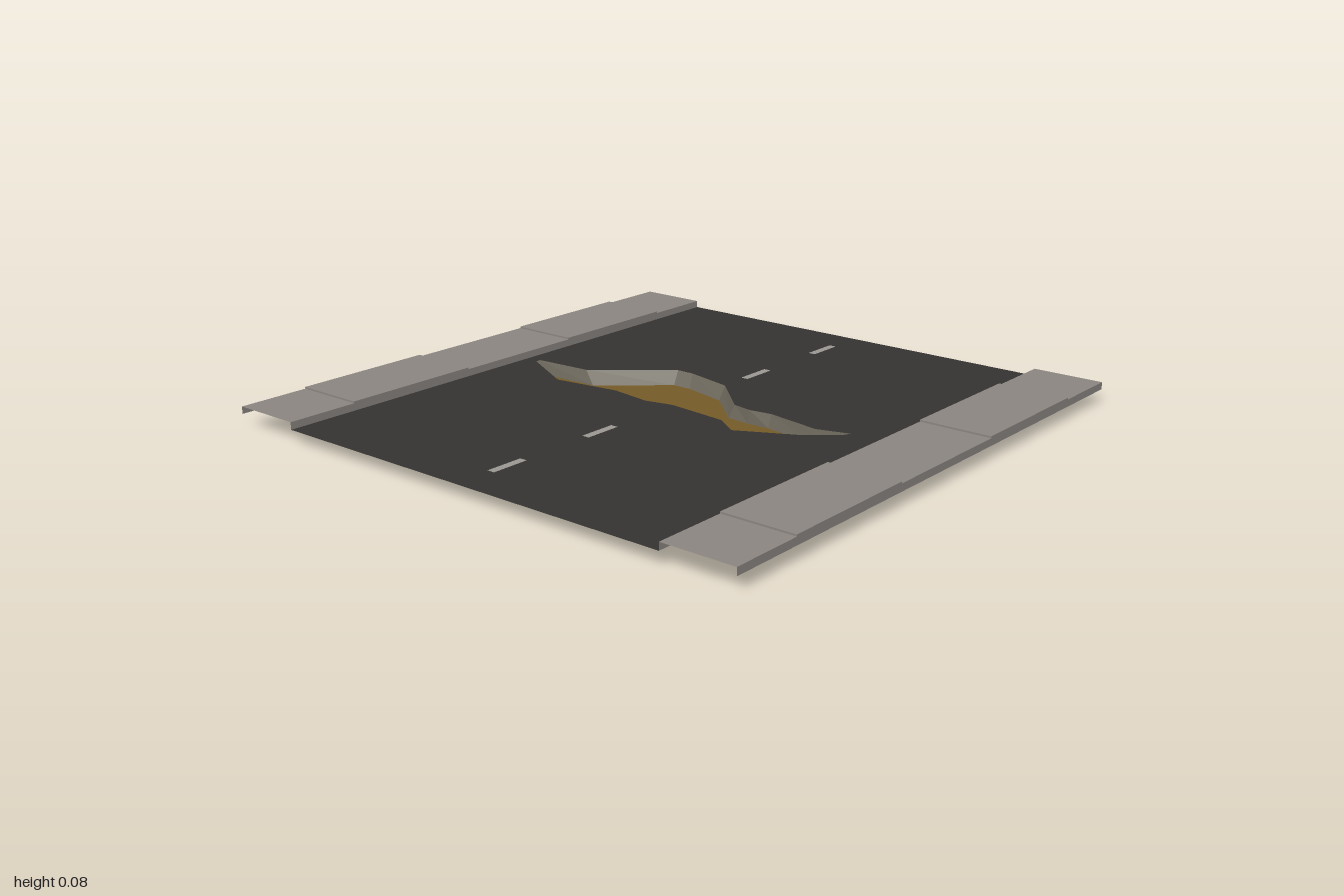
import * as THREE from 'three';

const ROAD_Y = 0.045, ROAD_HALF = 0.75, HALF = 1;
const LOW = 0.07, HIGH = 0.076;

// Crack outline, clockwise from above: [rim x, rim z, floor x, floor z]
const CRACK = [
  [-0.70, -0.05, -0.64, -0.04], [-0.49, -0.065, -0.445, -0.05],
  [-0.24, -0.267, -0.23, -0.233], [-0.175, -0.267, -0.16, -0.233],
  [0, -0.227, 0, -0.195], [0.155, -0.08, 0.14, -0.067],
  [0.225, -0.067, 0.225, -0.06], [0.305, -0.078, 0.305, -0.063],
  [0.50, -0.045, 0.49, -0.035], [0.61, -0.078, 0.54, -0.052],
  [0.60, -0.056, 0.54, -0.045], [0.50, 0.03, 0.48, -0.015],
  [0.305, 0.13, 0.28, 0.104], [0.22, 0.072, 0.22, 0.062],
  [0, 0.05, 0, 0.04], [-0.10, 0.072, -0.10, 0.058],
  [-0.246, 0.05, -0.246, 0.037], [-0.486, 0.083, -0.45, 0.065],
  [-0.70, -0.03, -0.63, -0.03],
];

const material = (color) =>
  new THREE.MeshStandardMaterial({ color, side: THREE.DoubleSide, flatShading: true });

function addMesh(parent, name, geometry, mat) {
  const mesh = new THREE.Mesh(geometry, mat);
  mesh.name = name;
  parent.add(mesh);
  return mesh;
}

// Each quad is four corners, counter-clockwise from its visible side
function quadGeometry(quads) {
  const position = quads.flatMap(([a, b, c, d]) => [a, b, c, a, c, d].flat());
  const geometry = new THREE.BufferGeometry();
  geometry.setAttribute('position', new THREE.Float32BufferAttribute(position, 3));
  geometry.computeVertexNormals();
  return geometry;
}

// Flat sheet facing up, from a shape drawn in x and -z
const sheet = (shape, y) =>
  new THREE.ShapeGeometry(shape).rotateX(-Math.PI / 2).translate(0, y, 0);

const outline = (column) => CRACK.map((p) => new THREE.Vector2(p[column], -p[column + 1]));

// Open shell of slabs at alternating heights, with kerb faces on both long sides
function pavementGeometry(x0, x1) {
  const joints = [-1, -0.75, -0.25, 0.25, 0.75, 1];
  const quads = [];
  for (let i = 0; i < 5; i++) {
    const z0 = joints[i], z1 = joints[i + 1];
    const y = i % 2 ? HIGH : LOW;
    quads.push([[x0, y, z0], [x0, y, z1], [x1, y, z1], [x1, y, z0]]);
    quads.push([[x1, ROAD_Y, z1], [x1, ROAD_Y, z0], [x1, y, z0], [x1, y, z1]]);
    quads.push([[x0, ROAD_Y, z0], [x0, ROAD_Y, z1], [x0, y, z1], [x0, y, z0]]);
    // Small risers at both ends of a raised slab
    if (i % 2) {
      quads.push([[x0, LOW, z1], [x1, LOW, z1], [x1, HIGH, z1], [x0, HIGH, z1]]);
      quads.push([[x1, LOW, z0], [x0, LOW, z0], [x0, HIGH, z0], [x1, HIGH, z0]]);
    }
  }
  return quadGeometry(quads);
}

export function createModel() {
  const model = new THREE.Group();
  model.name = 'crackedRoad';

  // Road surface with the crack cut out
  const road = new THREE.Shape([
    new THREE.Vector2(-ROAD_HALF, -HALF), new THREE.Vector2(ROAD_HALF, -HALF),
    new THREE.Vector2(ROAD_HALF, HALF), new THREE.Vector2(-ROAD_HALF, HALF),
  ]);
  road.holes.push(new THREE.Path(outline(0)));
  addMesh(model, 'roadSurface', sheet(road, ROAD_Y), material(0x353331));

  // Crack: sloping broken sides and an earth floor
  const crack = new THREE.Group();
  crack.name = 'crack';
  model.add(crack);
  const walls = CRACK.map((p, i) => {
    const q = CRACK[(i + 1) % CRACK.length];
    return [[p[0], ROAD_Y, p[1]], [p[2], 0, p[3]], [q[2], 0, q[3]], [q[0], ROAD_Y, q[1]]];
  });
  addMesh(crack, 'crackWalls', quadGeometry(walls), material(0x6b665a));
  addMesh(crack, 'crackFloor', sheet(new THREE.Shape(outline(2)), 0), material(0x755a28));

  // Pavements
  const stone = material(0x8b8580);
  addMesh(model, 'leftPavement', pavementGeometry(ROAD_HALF, HALF), stone);
  addMesh(model, 'rightPavement', pavementGeometry(-HALF, -ROAD_HALF), stone);

  // Centre line dashes
  const paint = material(0x9a9692);
  for (const z of [-0.8, -0.4, 0.4, 0.8]) {
    const dash = new THREE.PlaneGeometry(0.027, 0.133).rotateX(-Math.PI / 2);
    addMesh(model, 'laneDash', dash, paint).position.set(0, ROAD_Y + 0.001, z);
  }
  return model;
}
